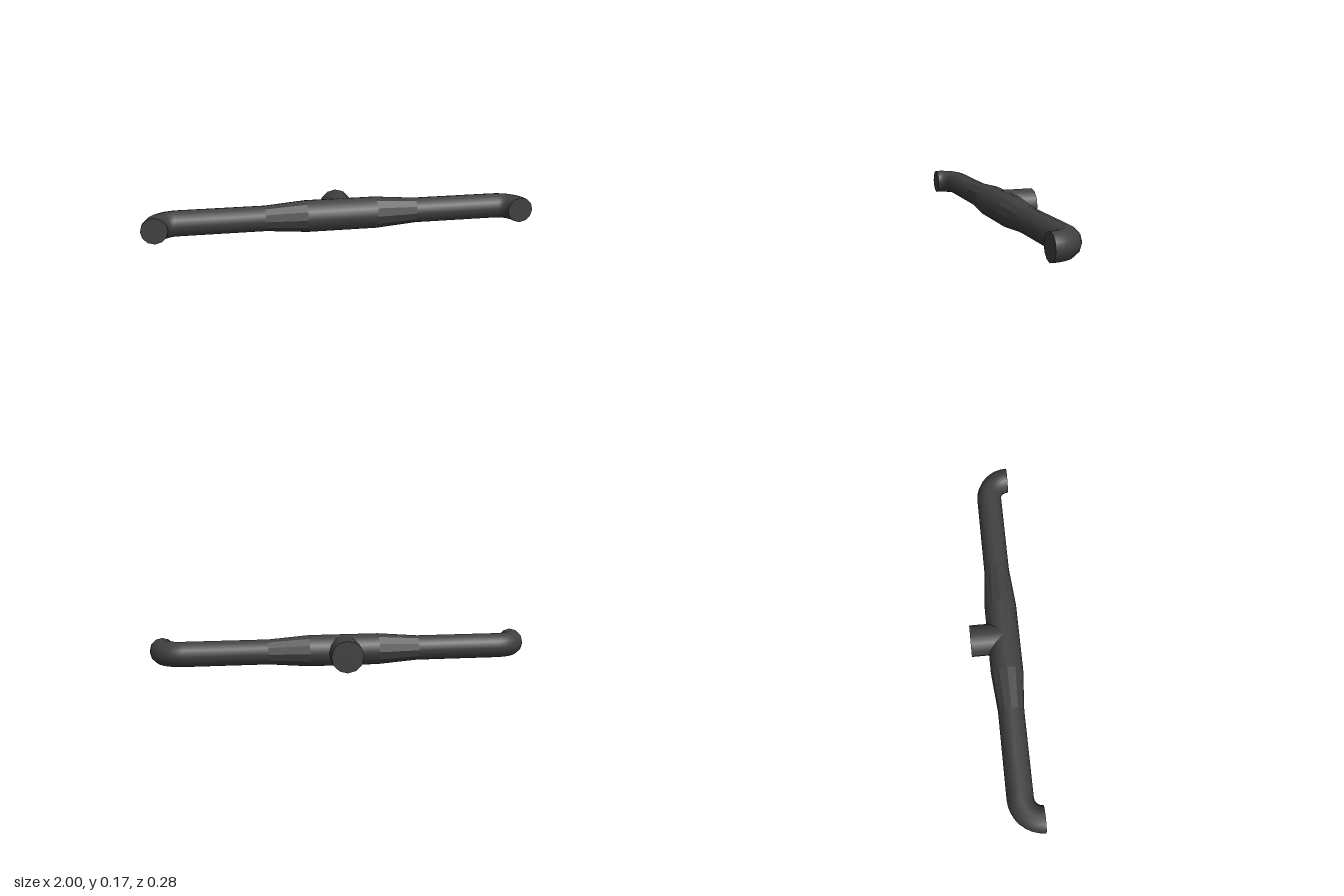
import * as THREE from 'three';

const AXIS_Y = 0.084, AXIS_Z = 0.032; // centre line of the main run
const PIPE_R = 0.066, BODY_R = 0.083, SIDES = 12;
const BODY_X = 0.18, TAPER_X = 0.39, BEND_X = 0.825, BEND_R = 0.108;

const smooth = new THREE.MeshStandardMaterial({ color: 0x404040 });
const faceted = new THREE.MeshStandardMaterial({ color: 0x404040, flatShading: true });

function part(name, geometry, material = smooth) {
  const mesh = new THREE.Mesh(geometry, material);
  mesh.name = name;
  return mesh;
}

// Cylinder or cone along x, from x0 (radius r0) to x1 (radius r1)
function run(r0, r1, x0, x1, open = true) {
  return new THREE.CylinderGeometry(r1, r0, x1 - x0, SIDES, 1, open)
    .rotateZ(-Math.PI / 2)
    .translate((x0 + x1) / 2, 0, 0);
}

// One side: reducer, straight pipe, quarter bend and its flat end
function arm(name) {
  const group = new THREE.Group();
  group.name = name;
  group.add(part('reducer', run(BODY_R, PIPE_R, BODY_X, TAPER_X), faceted));
  group.add(part('straightPipe', run(PIPE_R, PIPE_R, TAPER_X, BEND_X)));
  const bend = new THREE.TorusGeometry(BEND_R, PIPE_R, SIDES, 8, Math.PI / 2)
    .rotateX(-Math.PI / 2)
    .translate(BEND_X, 0, BEND_R);
  group.add(part('elbow', bend));
  const cap = new THREE.CircleGeometry(PIPE_R, SIDES).translate(BEND_X + BEND_R, 0, BEND_R);
  group.add(part('elbowEnd', cap));
  return group;
}

export function createModel() {
  const model = new THREE.Group();
  model.name = 'pipeManifold';
  const fitting = new THREE.Group();
  fitting.name = 'pipework';
  fitting.position.set(0, AXIS_Y, AXIS_Z);
  model.add(fitting);

  // Tee: central body and rear branch
  fitting.add(part('teeBody', run(BODY_R, BODY_R, -BODY_X, BODY_X, false)));
  const branchLength = 0.14 + AXIS_Z;
  const branch = new THREE.CylinderGeometry(BODY_R, BODY_R, branchLength, SIDES)
    .rotateX(-Math.PI / 2)
    .translate(0, 0, -branchLength / 2);
  fitting.add(part('teeBranch', branch));

  // The second arm is the first turned half round the z axis
  const right = arm('rightArm');
  right.rotation.z = Math.PI;
  fitting.add(arm('leftArm'), right);
  return model;
}
